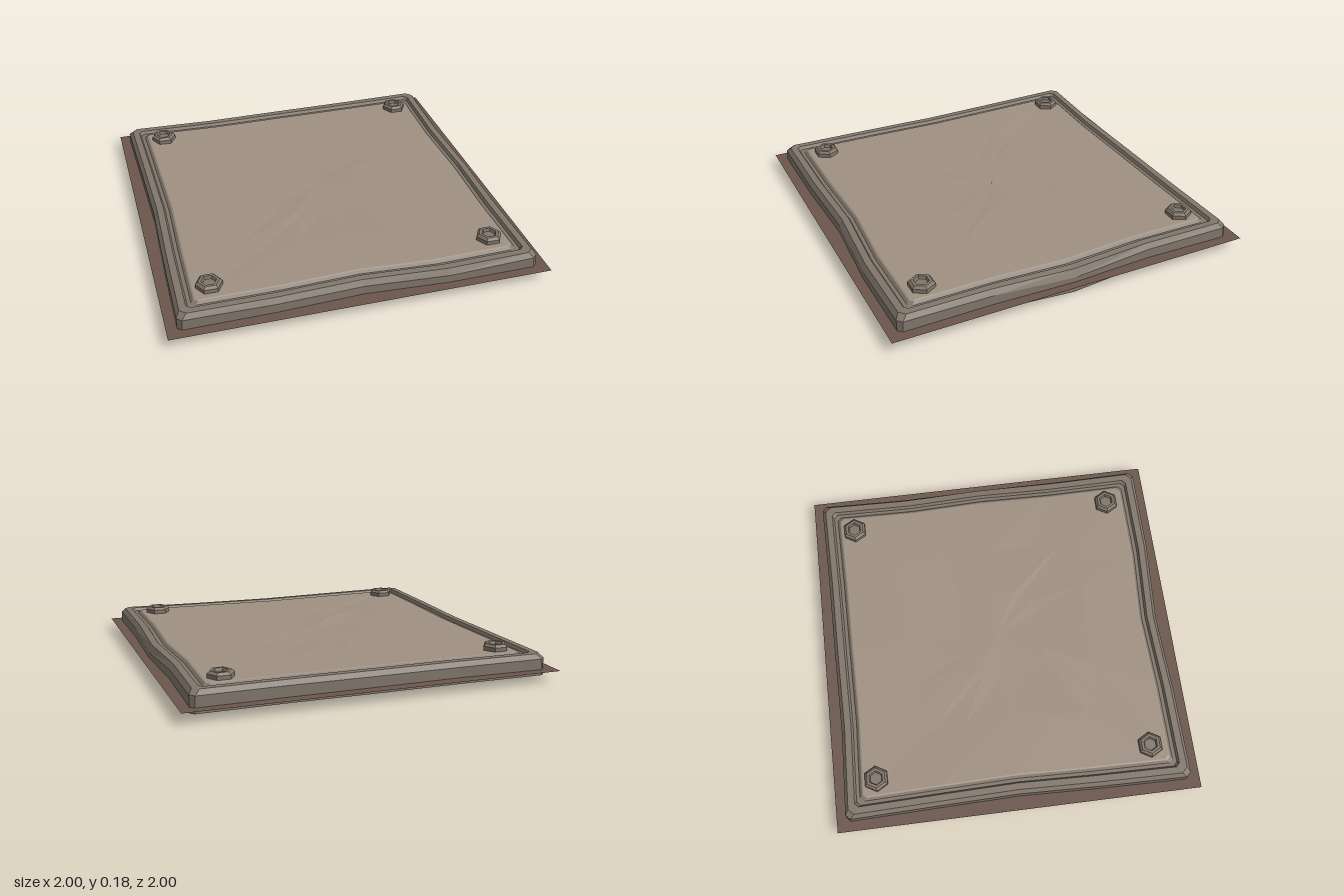
import * as THREE from 'three';

const material = (color) => new THREE.MeshStandardMaterial({
  color, flatShading: true, roughness: 0.9, side: THREE.DoubleSide,
});

// Battered edges: outward shift and sag at five stations along each side
const sides = [
  { angle: 0, out: [0, -0.005, -0.025, 0.003, 0], sag: [0, 0.008, 0.01, 0.015, 0] }, // front
  { angle: Math.PI / 2, out: [0, -0.004, 0.01, -0.01, 0], sag: [0, 0.006, 0.03, 0.006, 0] }, // left (+x)
  { angle: Math.PI, out: [0, -0.008, -0.01, -0.015, 0], sag: [0, 0, 0.002, 0.003, 0] }, // back
  { angle: -Math.PI / 2, out: [0, -0.012, -0.022, -0.008, 0], sag: [0, 0, 0, 0, 0] }, // right (-x)
];

// One closed loop of 20 points: a square with cut corners and dented sides
function ring({ r, y, sag = 0, dent = 0, corner = 0.02 }, index) {
  const points = [];
  sides.forEach((side, s) => {
    const end = r - Math.min(corner, r * 0.3);
    [-end, -0.48 * r, 0, 0.48 * r, end].forEach((t, k) => {
      const wobble = dent * Math.sin(7.3 * k + 4.1 * s + 2.7 * index);
      const p = new THREE.Vector3(t, y - side.sag[k] * sag + wobble, r + side.out[k] * (r / 0.945));
      points.push(p.applyAxisAngle(new THREE.Vector3(0, 1, 0), side.angle));
    });
  });
  return points;
}

// Skin a series of loops, ordered from the outside inwards
function loft(profile) {
  const loops = profile.map(ring);
  const n = loops[0].length;
  const position = loops.flat().flatMap((p) => p.toArray());
  const index = [];
  for (let i = 0; i < loops.length - 1; i++) {
    for (let j = 0; j < n; j++) {
      const a = i * n + j;
      const b = i * n + (j + 1) % n;
      index.push(a, b, b + n, a, b + n, a + n);
    }
  }
  const geometry = new THREE.BufferGeometry();
  geometry.setAttribute('position', new THREE.Float32BufferAttribute(position, 3));
  geometry.setIndex(index);
  const flat = geometry.toNonIndexed();
  flat.computeVertexNormals();
  return flat;
}

function addMesh(parent, name, geometry, mat) {
  const mesh = new THREE.Mesh(geometry, mat);
  mesh.name = name;
  parent.add(mesh);
  return mesh;
}

export function createModel() {
  const model = new THREE.Group();
  model.name = 'boltedFloorPlate';
  const frameMaterial = material(0x81766b);
  const panelMaterial = material(0x9f9082);
  const baseMaterial = material(0x6b564c);

  // Thin backing sheet
  const base = addMesh(model, 'backingSheet', new THREE.PlaneGeometry(2, 2), baseMaterial);
  base.rotation.x = -Math.PI / 2;
  base.position.y = 0.06;

  // Frame: wall, bevel, flat rim and the groove inside it
  addMesh(model, 'frame', loft([
    { r: 0.945, y: 0.03, sag: 1 },
    { r: 0.945, y: 0.118, sag: 1, corner: 0.025 },
    { r: 0.925, y: 0.143, sag: 0.5, corner: 0.03 },
    { r: 0.888, y: 0.143, sag: 0.35 },
    { r: 0.878, y: 0.126, sag: 0.3 },
    { r: 0.858, y: 0.126, sag: 0.3 },
    { r: 0.844, y: 0.138, sag: 0.3 },
  ]), frameMaterial);

  // Panel with shallow dents
  addMesh(model, 'panel', loft([
    { r: 0.844, y: 0.138, sag: 0.3 },
    { r: 0.836, y: 0.142, sag: 0.3 },
    { r: 0.52, y: 0.138, dent: 0.004, corner: 0.08 },
    { r: 0.24, y: 0.136, dent: 0.004, corner: 0.06 },
    { r: 0.001, y: 0.135 },
  ]), panelMaterial);

  // Hexagonal bolts with a recessed socket
  const boltProfile = [
    [0.07, 0.13], [0.07, 0.163], [0.056, 0.176], [0.04, 0.176], [0.034, 0.16], [0, 0.16],
  ].map(([x, y]) => new THREE.Vector2(x, y));
  const boltGeometry = new THREE.LatheGeometry(boltProfile, 6);
  boltGeometry.rotateY(Math.PI / 2);
  for (const x of [-0.75, 0.75]) {
    for (const z of [-0.76, 0.745]) {
      addMesh(model, 'bolt', boltGeometry, frameMaterial).position.set(x, 0, z);
    }
  }
  return model;
}
